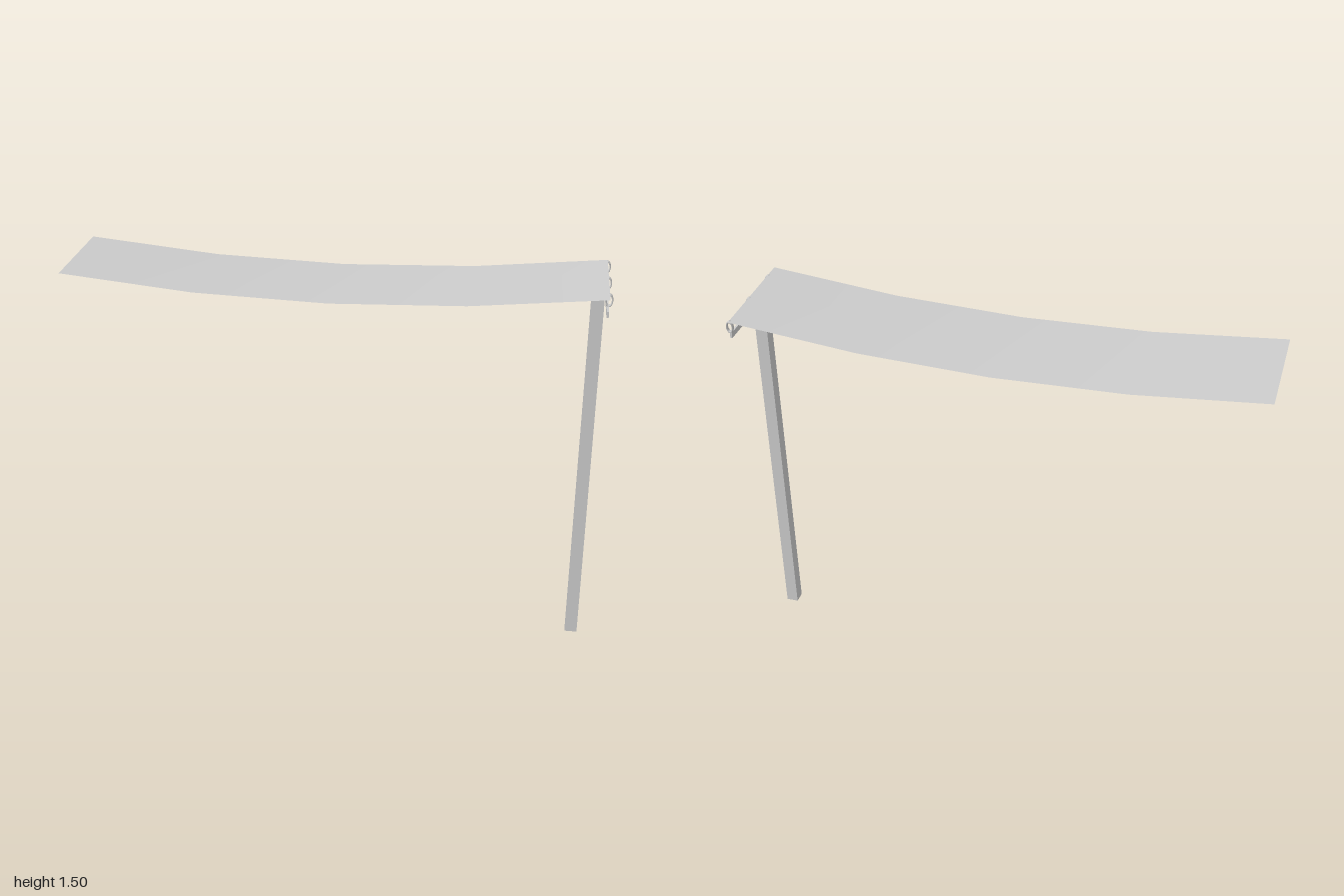
import * as THREE from 'three';

const mat = new THREE.MeshStandardMaterial({ color: 0xcccccc });
const thin = new THREE.MeshStandardMaterial({ color: 0xcccccc, side: THREE.DoubleSide });

function add(parent, name, geometry, x, y, z, material = mat) {
  const mesh = new THREE.Mesh(geometry, material);
  mesh.name = name;
  mesh.position.set(x, y, z);
  parent.add(mesh);
  return mesh;
}

// Thin sheet hanging in a shallow curve between its two ends
function sheetGeometry(length, width, sag) {
  const geo = new THREE.PlaneGeometry(length, width, 4, 1).rotateX(-Math.PI / 2);
  const pos = geo.attributes.position;
  for (let i = 0; i < pos.count; i++) {
    const t = pos.getX(i) / (length / 2);
    pos.setY(i, -sag * (1 - t * t));
  }
  geo.computeVertexNormals();
  return geo;
}

// Hollow square post with a slot down its +x face
function postGeometry(half, wall, slot, height) {
  const inner = half - wall;
  const outline = [
    [half, slot], [half, half], [-half, half], [-half, -half], [half, -half], [half, -slot],
    [inner, -slot], [inner, -inner], [-inner, -inner], [-inner, inner], [inner, inner], [inner, slot],
  ];
  const shape = new THREE.Shape(outline.map(([x, y]) => new THREE.Vector2(x, y)));
  return new THREE.ExtrudeGeometry(shape, { depth: height, bevelEnabled: false }).rotateX(-Math.PI / 2);
}

export function createModel() {
  const model = new THREE.Group();
  model.name = 'awning';

  add(model, 'canopySheet', sheetGeometry(1.986, 0.435, 0.065), -0.007, 1.495, 0, thin);
  add(model, 'post', postGeometry(0.0235, 0.004, 0.008, 1.475), 0.952, 0, 0);

  // Flat bar across the post, with the bracket that holds it
  add(model, 'crossBar', new THREE.BoxGeometry(0.008, 0.022, 0.426), 0.981, 1.439, 0);
  add(model, 'bracket', new THREE.BoxGeometry(0.01, 0.02, 0.04), 0.978, 1.465, 0);

  // Oval rings tying the sheet to the bar
  const ring = new THREE.TorusGeometry(0.021, 0.005, 8, 20).scale(0.55, 1, 1.6);
  for (const z of [0.152, -0.026, -0.206]) add(model, 'ring', ring, 0.985, 1.471, z);

  return model;
}
